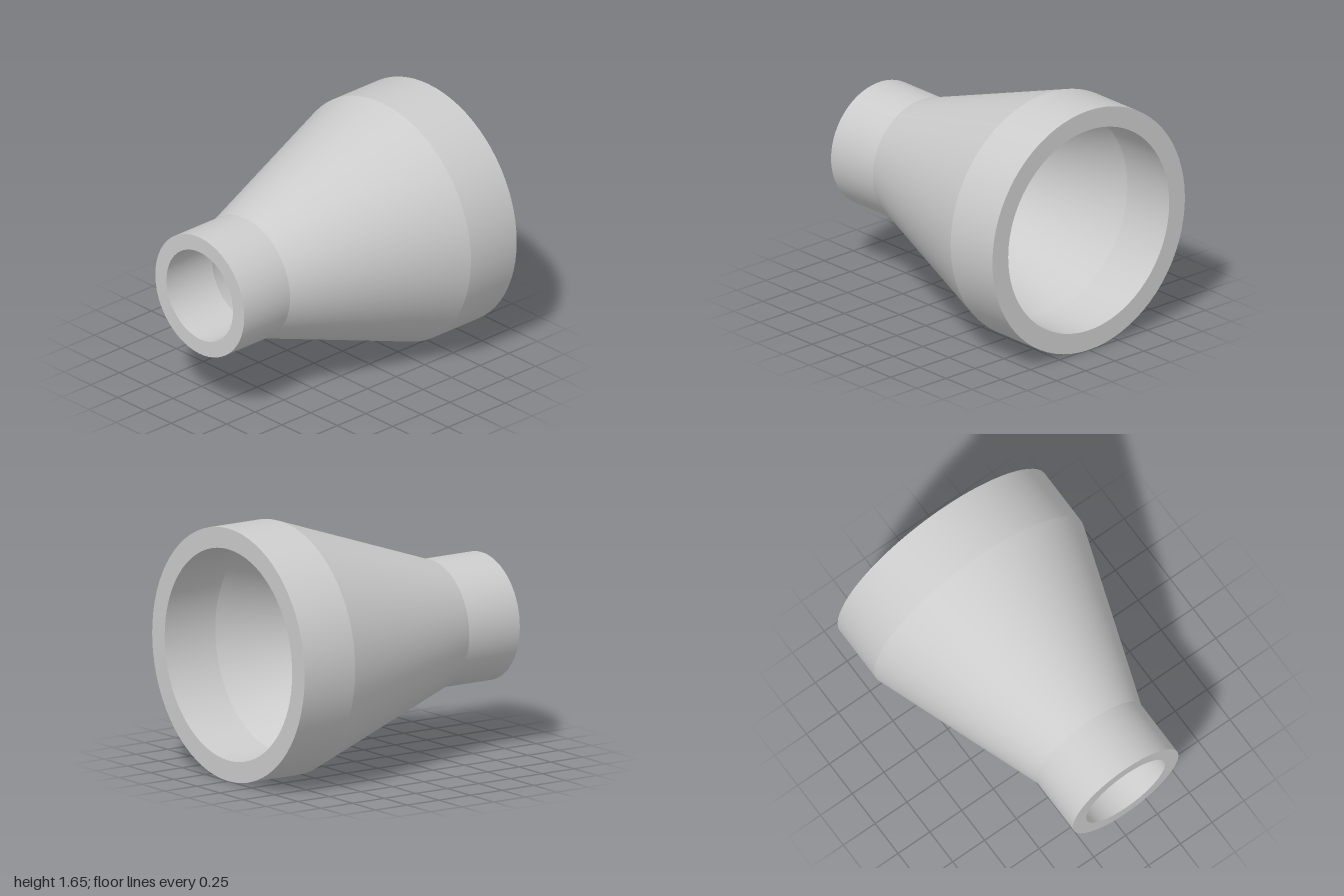
import * as THREE from 'three';
import { toCreasedNormals } from 'three/addons/utils/BufferGeometryUtils.js';

// Hollow concentric pipe reducer, wide end at the back
export function createModel() {
  const group = new THREE.Group();
  group.name = 'pipeReducer';
  const material = new THREE.MeshStandardMaterial({ color: 0xcccccc });

  const wide = { outer: 0.825, inner: 0.69 };
  const narrow = { outer: 0.415, inner: 0.31 };
  const end = 1, bend = 0.6;

  // Closed wall section: outside from back to front, then the bore back again
  const profile = [
    [wide.outer, -end], [wide.outer, -bend], [narrow.outer, bend], [narrow.outer, end],
    [narrow.inner, end], [narrow.inner, bend], [wide.inner, -bend], [wide.inner, -end],
    [wide.outer, -end],
  ].map(([r, y]) => new THREE.Vector2(r, y));

  const lathe = new THREE.LatheGeometry(profile, 72);
  lathe.rotateX(Math.PI / 2); // axis along z, narrow end to the front

  // Round surfaces stay smooth, bends and rims stay sharp
  const reducer = new THREE.Mesh(toCreasedNormals(lathe, 0.2), material);
  reducer.name = 'reducerBody';
  reducer.position.y = wide.outer;
  group.add(reducer);
  return group;
}
